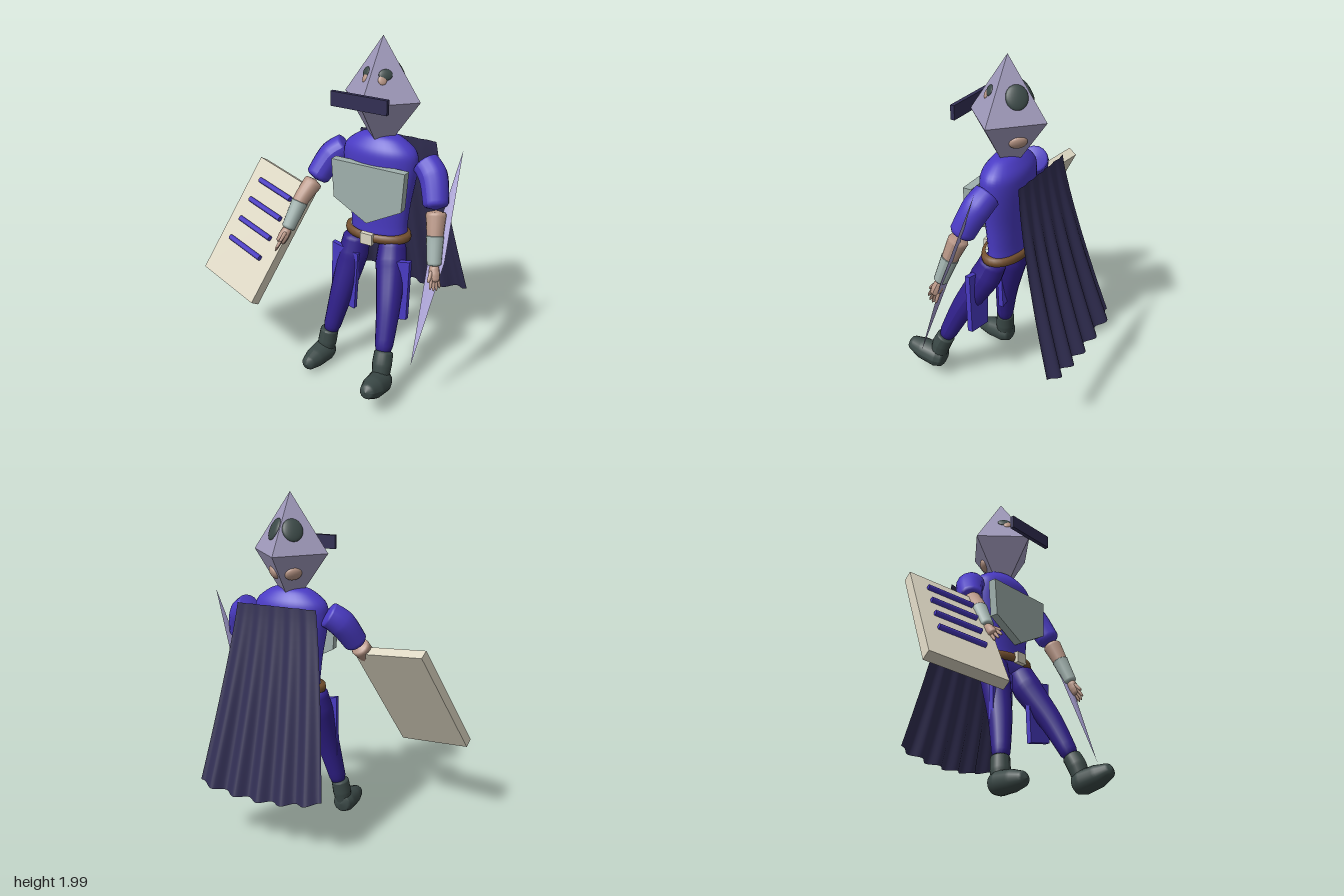
import * as THREE from 'three';

const V = (x, y, z) => new THREE.Vector3(x, y, z);
const COLORS = {
  blue: 0x4a3bc4, helmetGrey: 0x9f99bb, bladeLavender: 0xaaa2d6, navy: 0x322f54, slate: 0x3b4947,
  skin: 0xb89686, steel: 0xa0b1ad, leather: 0x74502f, cream: 0xdcd6c2, indigo: 0x30208a,
};

export function createModel() {
  const root = new THREE.Group();
  const mats = {};
  for (const [name, color] of Object.entries(COLORS)) {
    mats[name] = new THREE.MeshStandardMaterial({ color });
    mats[name].name = name;
  }
  const cape = mats.navy;
  cape.side = THREE.DoubleSide;

  const add = (name, geo, mat, x = 0, y = 0, z = 0, parent = root) => {
    const m = new THREE.Mesh(geo, mats[mat]);
    m.name = name;
    m.position.set(x, y, z);
    parent.add(m);
    return m;
  };

  // Orients an object by its own x and y directions
  const orient = (obj, xDir, yDir) => {
    const y = yDir.clone().normalize();
    const z = xDir.clone().cross(y).normalize();
    obj.quaternion.setFromRotationMatrix(new THREE.Matrix4().makeBasis(y.clone().cross(z), y, z));
  };

  // Tapered round limb through [x, y, z, radius] points, closed at both ends
  const limb = (name, pts, mat, rings = 24, sides = 16) => {
    const curve = new THREE.CatmullRomCurve3(pts.map(p => V(p[0], p[1], p[2])));
    curve.getPointAt = (t, o) => curve.getPoint(t, o);
    curve.getTangentAt = (t, o) => curve.getTangent(t, o);
    const geo = new THREE.TubeGeometry(curve, rings, 1, sides);
    const pos = geo.attributes.position, v = V(0, 0, 0);
    for (let i = 0; i < pos.count; i++) {
      const ring = Math.floor(i / (sides + 1)), t = ring / rings;
      const f = t * (pts.length - 1), k = Math.min(Math.floor(f), pts.length - 2);
      let r = THREE.MathUtils.lerp(pts[k][3], pts[k + 1][3], f - k);
      const edge = Math.min(ring, rings - ring);
      r *= edge === 0 ? 0.001 : edge === 1 ? 0.85 : 1;
      const c = curve.getPoint(t);
      v.fromBufferAttribute(pos, i).sub(c).multiplyScalar(r).add(c);
      pos.setXYZ(i, v.x, v.y, v.z);
    }
    geo.computeVertexNormals();
    return add(name, geo, mat);
  };

  // Head: eight-sided helmet with visor bar
  const head = new THREE.Group();
  head.name = 'head';
  head.position.set(0.25, 1.67, -0.04);
  root.add(head);
  add('helmet', new THREE.OctahedronGeometry(1).scale(0.23, 0.33, 0.23), 'helmetGrey', 0, 0, 0, head);
  add('visorBar', new THREE.BoxGeometry(0.335, 0.08, 0.024), 'navy', -0.004, 0.025, 0.235, head);

  // Domes showing through the helmet faces
  const dome = (name, mat, sx, x, y, zSide, rx, ry, h) => {
    const z = zSide * 0.23 * (1 - Math.abs(y) / 0.33 - x / 0.23);
    const m = add(name, new THREE.SphereGeometry(1, 24, 12), mat, sx * x, y, z, head);
    const n = V(sx / 0.23, Math.sign(y) / 0.33, zSide / 0.23).normalize();
    const up = V(0, 1, 0).addScaledVector(n, -n.y);
    orient(m, up.clone().cross(n), up);
    m.scale.set(rx, ry, h);
  };
  for (const s of [-1, 1]) {
    dome('hair', 'slate', s, 0.055, 0.13, -1, 0.06, 0.066, 0.018);
    dome('eye', 'slate', s, 0.058, 0.142, 1, 0.038, 0.03, 0.01);
    dome('cheek', 'skin', s, 0.052, 0.118, 1, 0.024, 0.026, 0.009);
    dome('nape', 'skin', s, 0.06, -0.11, -1, 0.05, 0.04, 0.022);
  }

  // Torso
  const profile = [[0.001, 0.83], [0.13, 0.835], [0.17, 0.88], [0.175, 0.95], [0.19, 1.08], [0.215, 1.22],
    [0.225, 1.32], [0.215, 1.38], [0.17, 1.425], [0.1, 1.462], [0.001, 1.468]];
  const torso = new THREE.LatheGeometry(
    new THREE.SplineCurve(profile.map(p => new THREE.Vector2(...p))).getPoints(40), 32);
  add('torso', torso.scale(1, 1, 0.54), 'blue', 0.25, 0, -0.04);

  // Belt and buckle
  const beltProfile = [[0.17, 0.855], [0.198, 0.858], [0.203, 0.878], [0.198, 0.9], [0.17, 0.903]];
  const belt = new THREE.LatheGeometry(beltProfile.map(p => new THREE.Vector2(...p)), 32);
  add('belt', belt.scale(1, 1, 0.61), 'leather', 0.25, 0, -0.03);
  add('buckle', new THREE.BoxGeometry(0.075, 0.066, 0.03), 'cream', 0.247, 0.878, 0.095);

  // Flat plate cut from an outline
  const plate = (name, outline, depth, mat, z) => {
    const shape = new THREE.Shape(outline.map(p => new THREE.Vector2(...p)));
    return add(name, new THREE.ExtrudeGeometry(shape, { depth, bevelEnabled: false }), mat, 0, 0, z);
  };
  plate('chestPlate', [[0.035, 1.09], [0.247, 0.975], [0.46, 1.09], [0.475, 1.315], [0.02, 1.315]], 0.05, 'steel', 0.057);
  plate('rightThighPlate', [[0.01, 0.425], [0.165, 0.39], [0.185, 0.755], [0.015, 0.795]], 0.03, 'blue', 0.06);
  plate('leftThighPlate', [[0.335, 0.39], [0.505, 0.425], [0.515, 0.795], [0.325, 0.755]], 0.03, 'blue', 0.06);

  // Cape: flared sheet with growing folds
  const capeGeo = new THREE.PlaneGeometry(1, 1, 80, 24);
  const cp = capeGeo.attributes.position;
  for (let i = 0; i < cp.count; i++) {
    const u = cp.getX(i) * 2, t = 0.5 - cp.getY(i);
    const fold = 0.003 + 0.02 * t;
    cp.setXYZ(i, 0.248 + u * (0.242 + 0.14 * t),
      1.395 - t * (1.065 - 0.055 * u * u),
      -0.24 - 0.265 * Math.pow(t, 1.25) - fold * Math.cos(u * Math.PI * 5.2));
  }
  capeGeo.computeVertexNormals();
  add('cape', capeGeo, 'navy');

  // Arms: sleeve, forearm, bracer
  const arm = (side, shoulder, mid, elbow, cuff, wrist) => {
    limb(side + 'Sleeve', [[...shoulder, 0.075], [...mid, 0.08], [...elbow, 0.068]], 'blue');
    limb(side + 'Forearm', [[...elbow, 0.058], [...cuff, 0.045], [...wrist, 0.032]], 'skin');
    limb(side + 'Bracer', [[...cuff, 0.05], [...wrist, 0.038]], 'steel');
  };
  arm('right', [0.02, 1.34, -0.07], [-0.055, 1.28, -0.03], [-0.125, 1.14, 0.05], [-0.165, 1.03, 0.15], [-0.195, 0.88, 0.24]);
  arm('left', [0.5, 1.34, -0.07], [0.57, 1.28, -0.04], [0.632, 1.12, 0.03], [0.655, 0.995, 0.08], [0.683, 0.84, 0.135]);

  // Hands: palm, four fingers and thumb
  const hand = (side, wrist, tip, across) => {
    const w = V(...wrist), t = V(...tip), a = V(...across);
    const at = (f, s) => w.clone().lerp(t, f).addScaledVector(a, s).toArray();
    limb(side + 'Palm', [[...at(-0.1, 0), 0.026], [...at(0.3, 0), 0.031], [...at(0.62, 0), 0.026]], 'skin', 12, 10);
    for (let i = 0; i < 4; i++) {
      const s = (i - 1.5) * 0.016;
      limb(side + 'Finger', [[...at(0.4, s), 0.011], [...at(1 - Math.abs(i - 1.5) * 0.08, s * 1.5), 0.008]], 'skin', 8, 8);
    }
    limb(side + 'Thumb', [[...at(0.15, 0.02), 0.012], [...at(0.6, 0.05), 0.009]], 'skin', 8, 8);
  };
  hand('right', [-0.195, 0.88, 0.24], [-0.222, 0.77, 0.335], [0.5, 0.5, 0.7]);
  hand('left', [0.683, 0.84, 0.135], [0.717, 0.715, 0.18], [-0.35, 0.2, 0.9]);

  // Legs and boots
  limb('rightLeg', [[0.13, 0.86, -0.005, 0.075], [0.115, 0.72, 0.02, 0.088], [0.075, 0.47, 0.085, 0.068], [0.022, 0.19, 0.135, 0.046]], 'indigo');
  limb('leftLeg', [[0.355, 0.86, -0.01, 0.075], [0.375, 0.74, 0.04, 0.088], [0.43, 0.52, 0.165, 0.068], [0.467, 0.27, 0.285, 0.046]], 'indigo');
  limb('rightBootShaft', [[0.022, 0.24, 0.13, 0.053], [0.01, 0.15, 0.14, 0.056], [0, 0.05, 0.15, 0.045]], 'slate');
  limb('leftBootShaft', [[0.466, 0.31, 0.265, 0.053], [0.473, 0.24, 0.3, 0.056], [0.48, 0.13, 0.33, 0.045]], 'slate');
  limb('rightFoot', [[0, 0.08, 0.095, 0.05], [-0.004, 0.08, 0.15, 0.068], [-0.012, 0.075, 0.25, 0.06], [-0.016, 0.07, 0.34, 0.035]], 'slate');
  limb('leftFoot', [[0.478, 0.135, 0.275, 0.05], [0.48, 0.145, 0.33, 0.07], [0.487, 0.165, 0.43, 0.064], [0.492, 0.19, 0.523, 0.035]], 'slate');

  // Tablet shield with four rods on its face
  const shield = new THREE.Group();
  shield.name = 'shield';
  shield.position.set(-0.4225, 0.825, 0.235);
  orient(shield, V(0.44, -0.06, 0.12), V(0.185, 0.63, -0.36));
  root.add(shield);
  add('shieldBoard', new THREE.BoxGeometry(0.46, 0.75, 0.06), 'cream', 0, 0, -0.03, shield);
  for (let i = 0; i < 4; i++) {
    const rod = new THREE.CylinderGeometry(0.016, 0.016, 0.28, 8).rotateZ(Math.PI / 2);
    add('shieldRod', rod, 'blue', 0, 0.258 - i * 0.129, 0.012, shield);
  }

  // Thin diamond blade held in the left hand
  const blade = add('blade', new THREE.OctahedronGeometry(1).scale(0.048, 0.604, 0.006), 'bladeLavender', 0.68, 0.865, 0.1);
  orient(blade, V(1, 0, 0), V(0.05, 1.13, -0.425));

  return root;
}
